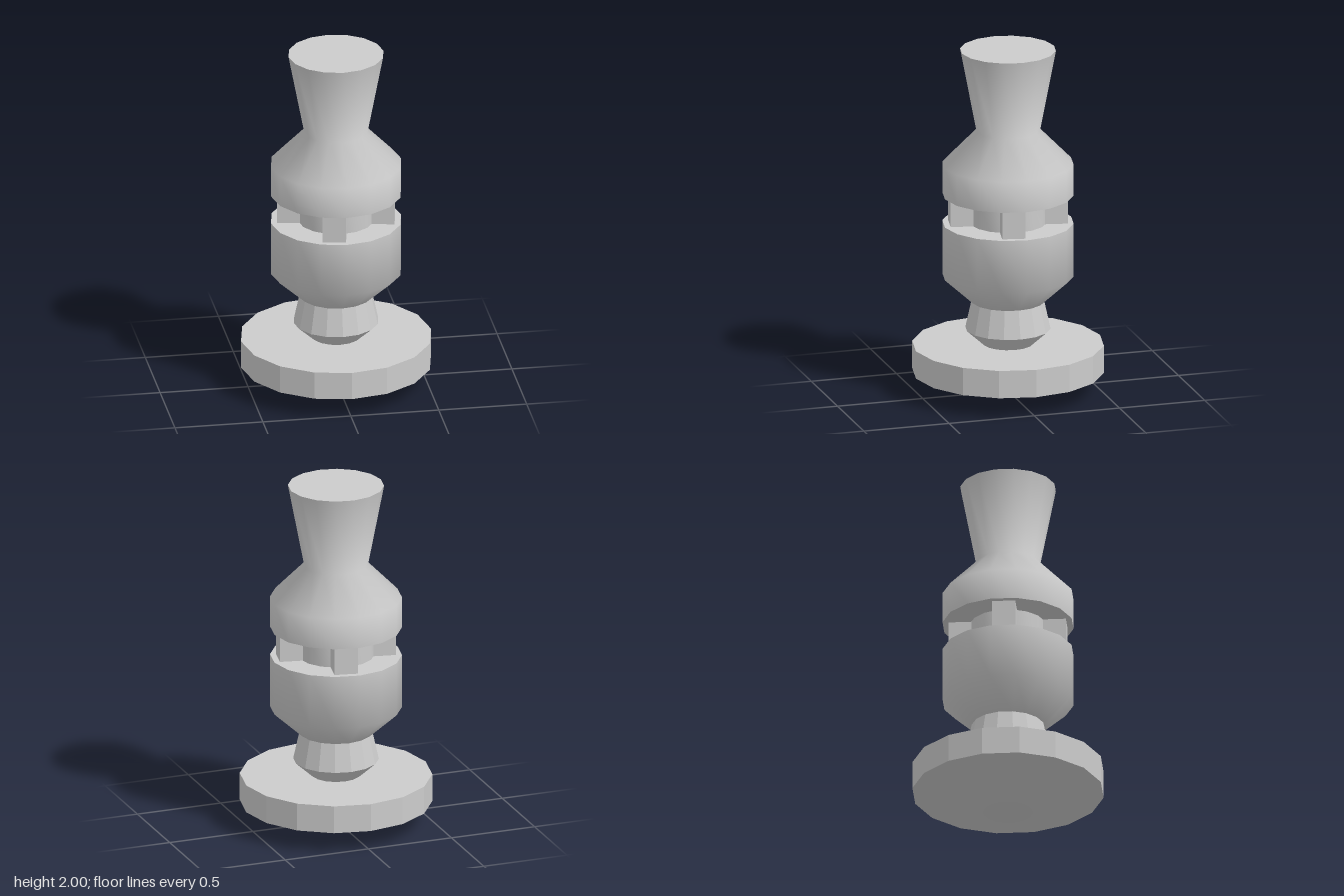
import * as THREE from 'three';
import { toCreasedNormals } from 'three/addons/utils/BufferGeometryUtils.js';

const SIDES = 16;

export function createModel() {
  const model = new THREE.Group();
  const smooth = new THREE.MeshStandardMaterial({ color: 0xcccccc });
  const faceted = new THREE.MeshStandardMaterial({ color: 0xcccccc, flatShading: true });

  // Turned part from [radius, height] pairs, bottom to top
  function turned(name, profile, material) {
    const points = profile.map(([r, y]) => new THREE.Vector2(r, y));
    const lathe = new THREE.LatheGeometry(points, SIDES);
    const mesh = new THREE.Mesh(toCreasedNormals(lathe, THREE.MathUtils.degToRad(62)), material);
    mesh.name = name;
    model.add(mesh);
  }

  // Faceted foot and stem
  turned('base', [[0, 0], [0.14, 0], [0.54, 0.12], [0.54, 0.28], [0, 0.28]], faceted);
  turned('stem', [[0.14, 0.28], [0.24, 0.37], [0.205, 0.53], [0, 0.53]], faceted);

  // Smooth lower body, recessed core, upper body with flared neck
  turned('lowerBody', [[0.205, 0.53], [0.37, 0.68], [0.37, 0.99], [0, 0.99]], smooth);
  turned('core', [[0.215, 0.99], [0.215, 1.155]], smooth);
  turned('upperBody', [[0, 1.155], [0.37, 1.155], [0.37, 1.335], [0.18, 1.53], [0.27, 2], [0, 2]], smooth);

  // Four spacer blocks around the core, turned half a facet
  const blocks = new THREE.Group();
  blocks.name = 'spacerBlocks';
  const blockGeometry = new THREE.BoxGeometry(0.132, 0.165, 0.17).translate(0, 1.0725, 0.245);
  for (let i = 0; i < 4; i++) {
    const block = new THREE.Mesh(blockGeometry, faceted);
    block.name = 'spacerBlock';
    block.rotation.y = i * Math.PI / 2 - Math.PI / SIDES;
    blocks.add(block);
  }
  model.add(blocks);

  return model;
}
